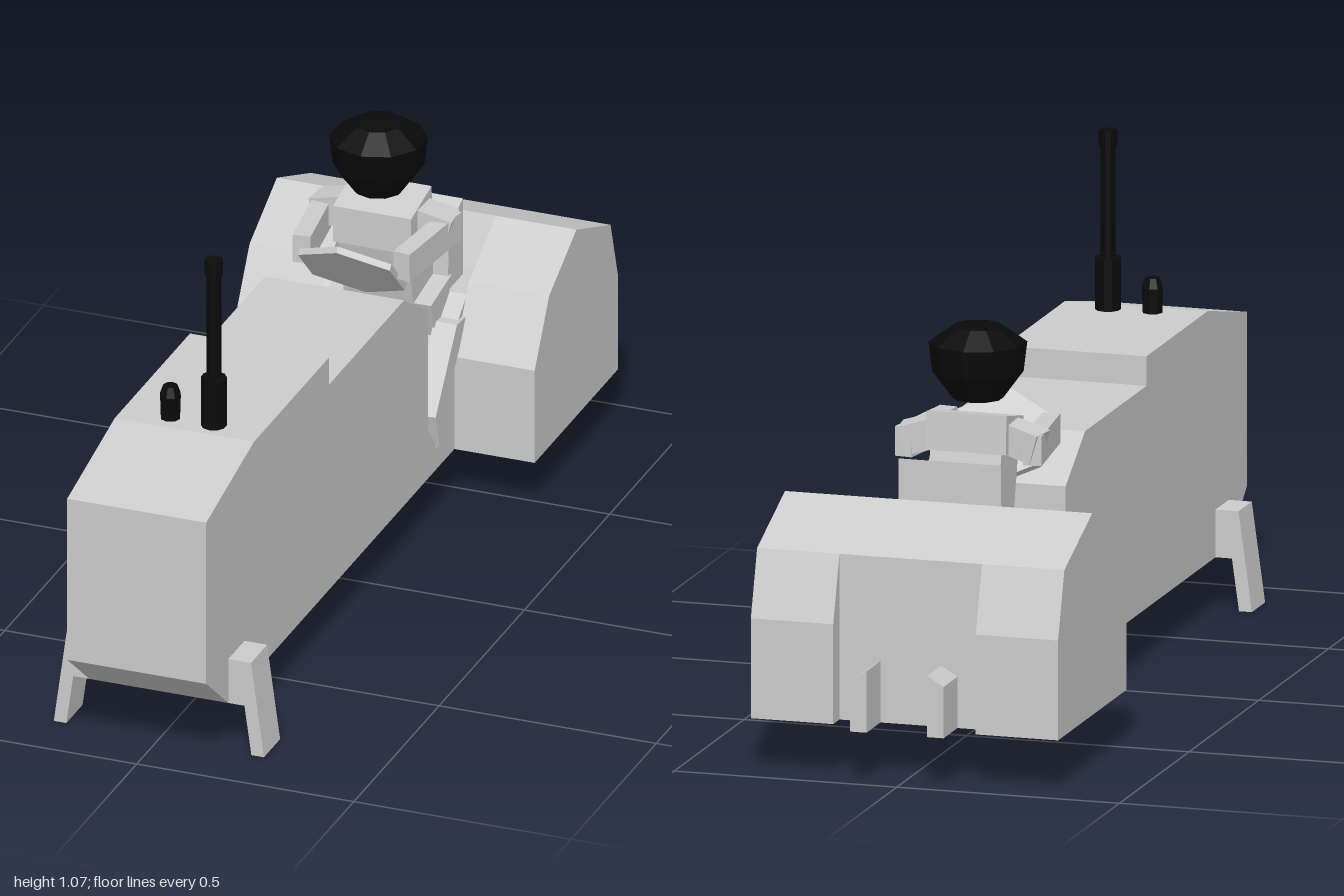
import * as THREE from 'three';

const grey = new THREE.MeshStandardMaterial({ color: 0xcccccc, flatShading: true, side: THREE.DoubleSide });
const black = new THREE.MeshStandardMaterial({ color: 0x0a0a0a, flatShading: true });

export function createModel() {
  const model = new THREE.Group();

  function add(name, geometry, material = grey, parent = model) {
    const mesh = new THREE.Mesh(geometry, material);
    mesh.name = name;
    parent.add(mesh);
    return mesh;
  }
  const shapeOf = (points) => new THREE.Shape(points.map(([a, b]) => new THREE.Vector2(a, b)));

  // Side profile of [z, y] points, swept from x0 to x1
  function sideSlab(points, x0, x1) {
    const g = new THREE.ExtrudeGeometry(shapeOf(points), { depth: x1 - x0, bevelEnabled: false });
    return g.rotateY(-Math.PI / 2).translate(x1, 0, 0);
  }
  // Front profile of [x, y] points, swept from z0 to z1
  function frontSlab(points, z0, z1) {
    const g = new THREE.ExtrudeGeometry(shapeOf(points), { depth: z1 - z0, bevelEnabled: false });
    return g.translate(0, 0, z0);
  }
  // Square beam between two points
  function beam(name, a, b, width, height, parent) {
    const from = new THREE.Vector3(...a), to = new THREE.Vector3(...b);
    const mesh = add(name, new THREE.BoxGeometry(width, height, from.distanceTo(to)), grey, parent);
    mesh.position.copy(from).lerp(to, 0.5);
    mesh.lookAt(to);
  }

  // Hood, footwell notch, seat pan and rear housing in one profile
  add('body', sideSlab([
    [0.87, 0.115], [1, 0.22], [1, 0.605], [0.72, 0.67], [0.28, 0.67], [0.28, 0.605],
    [-0.16, 0.605], [-0.3, 0.515], [-0.3, 0.235], [-0.35, 0.165], [-0.46, 0.4],
    [-0.53, 0.45], [-0.65, 0.45], [-0.7, 0.56], [-0.9, 0.48], [-0.9, 0.115],
  ], -0.16, 0.16));
  add('seatBack', sideSlab([[-0.53, 0.44], [-0.54, 0.6], [-0.62, 0.63], [-0.62, 0.44]], -0.115, 0.115));

  const fender = [[-0.455, 0.115], [-0.455, 0.335], [-0.54, 0.475], [-0.7, 0.56],
    [-0.9, 0.48], [-0.945, 0.335], [-0.945, 0.115]];
  const frontLeg = [[0.16, 0.115], [0.16, 0.22], [0.212, 0.22], [0.242, 0], [0.213, 0], [0.197, 0.115]];
  const hitch = [[0.068, 0.115], [0.068, 0.25], [0.105, 0.228], [0.105, 0.115]];
  const riderLeg = [[-0.45, 0.415], [-0.325, 0.25], [-0.35, 0.17], [-0.4, 0.27], [-0.51, 0.41]];
  for (const s of [1, -1]) {
    const tag = s > 0 ? 'Left' : 'Right';
    const mirror = (points) => points.map(([x, y]) => [s * x, y]);
    add('fender' + tag, sideSlab(fender, s > 0 ? 0.16 : -0.345, s > 0 ? 0.345 : -0.16));
    add('frontLeg' + tag, frontSlab(mirror(frontLeg), 0.775, 0.87));
    add('hitch' + tag, frontSlab(mirror(hitch), -1, -0.9));
  }

  // Exhaust stack and breather
  const tube = (name, r, y0, y1, x) =>
    add(name, new THREE.CylinderGeometry(r, r, y1 - y0, 10)).position.set(x, (y0 + y1) / 2, 0.675);
  tube('exhaustBase', 0.028, 0.66, 0.785, 0.05);
  tube('exhaustPipe', 0.016, 0.78, 1.04, 0.05);
  tube('exhaustCap', 0.02, 1.03, 1.065, 0.05);
  const breather = [[0, 0], [0.022, 0], [0.024, 0.06], [0.016, 0.082], [0, 0.085]];
  add('breather', new THREE.LatheGeometry(breather.map(([r, y]) => new THREE.Vector2(r, y)), 8))
    .position.set(-0.05, 0.665, 0.675);
  model.children.filter((m) => /exhaust|breather/.test(m.name)).forEach((m) => { m.material = black; });

  // Tilted hexagonal steering wheel
  const wheel = add('steeringWheel', new THREE.CylinderGeometry(0.122, 0.122, 0.015, 6));
  wheel.position.set(0, 0.603, -0.263);
  wheel.rotation.x = -Math.PI / 4;

  // Rider
  const rider = new THREE.Group();
  rider.name = 'rider';
  model.add(rider);
  add('torso', sideSlab([[-0.385, 0.605], [-0.505, 0.625], [-0.54, 0.485], [-0.42, 0.46]], -0.08, 0.08), grey, rider);
  add('shoulders', sideSlab([[-0.38, 0.6], [-0.38, 0.685], [-0.5, 0.71], [-0.505, 0.625]], -0.09, 0.09), grey, rider);
  add('hips', sideSlab([[-0.42, 0.465], [-0.54, 0.485], [-0.51, 0.4], [-0.45, 0.38]], -0.12, 0.12), grey, rider);
  for (const s of [1, -1]) {
    const tag = s > 0 ? 'Left' : 'Right';
    beam('upperArm' + tag, [s * 0.07, 0.66, -0.45], [s * 0.152, 0.637, -0.46], 0.07, 0.065, rider);
    beam('forearm' + tag, [s * 0.145, 0.635, -0.49], [s * 0.115, 0.632, -0.26], 0.04, 0.065, rider);
    add('leg' + tag, sideSlab(riderLeg, s > 0 ? 0.115 : -0.168, s > 0 ? 0.168 : -0.115), grey, rider);
  }

  // Faceted helmet
  const helmet = [[0, 0.726], [0.055, 0.727], [0.098, 0.785], [0.106, 0.85], [0.055, 0.885], [0, 0.887]];
  add('helmet', new THREE.LatheGeometry(helmet.map(([r, y]) => new THREE.Vector2(r, y)), 10), black, rider)
    .position.z = -0.418;

  return model;
}
